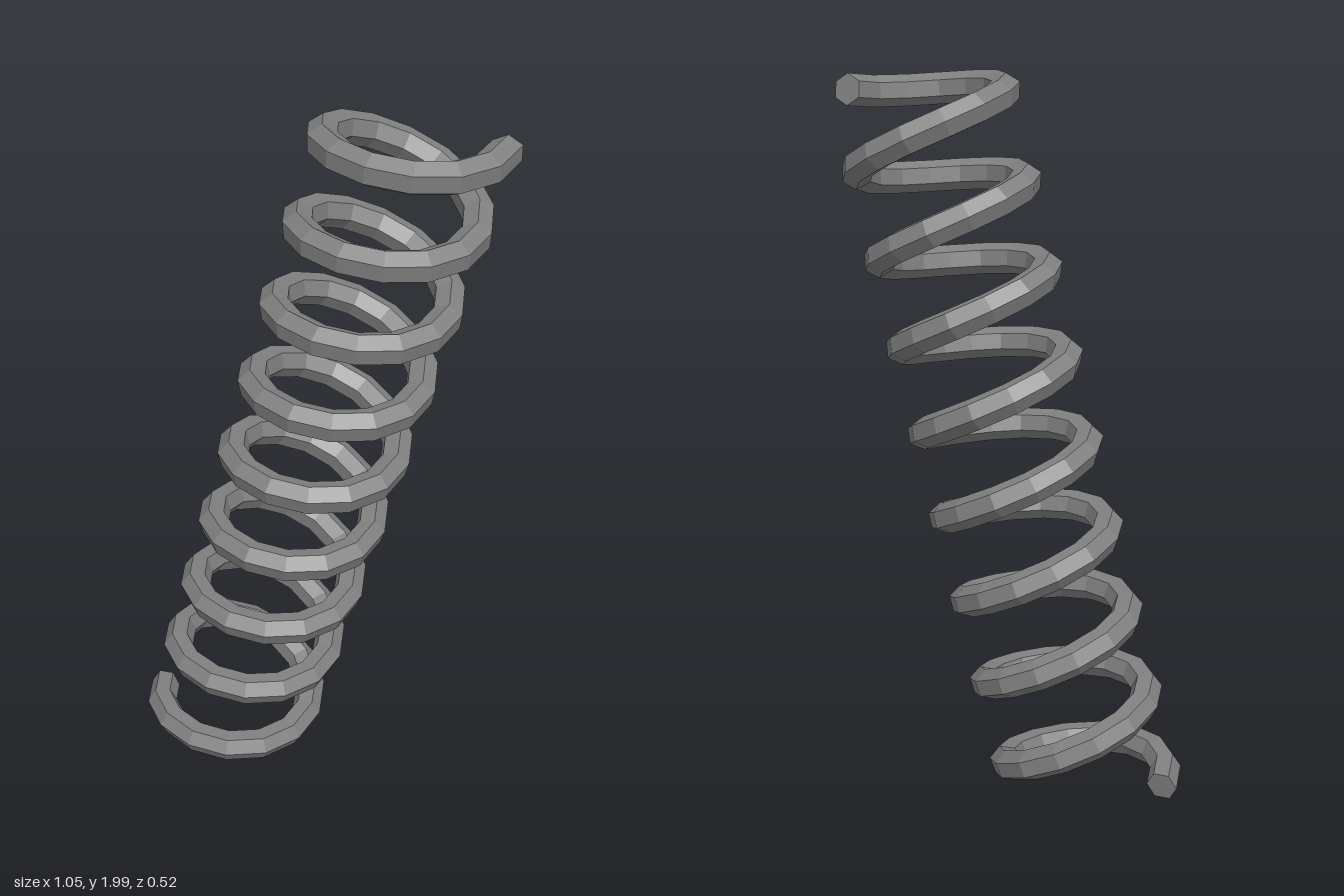
import * as THREE from 'three';

const TURNS = 8.5, SEGMENTS = 119, SIDES = 6;
const COIL_RADIUS = 0.222, WIRE_RADIUS = 0.044, LENGTH = 2.08;
const LEAN = THREE.MathUtils.degToRad(15.1);

// Helix about a leaning axis, running from the -x side through the front to the +x side
class LeaningHelix extends THREE.Curve {
  getPoint(t, target = new THREE.Vector3()) {
    const a = t * TURNS * Math.PI * 2;
    return target
      .set(-COIL_RADIUS * Math.cos(a), (t - 0.5) * LENGTH, COIL_RADIUS * Math.sin(a))
      .applyAxisAngle(new THREE.Vector3(0, 0, 1), -LEAN)
      .add(new THREE.Vector3(0, 1, 0));
  }
}

// Faceted shading through split normals
function faceted(geometry) {
  const flat = geometry.index ? geometry.toNonIndexed() : geometry;
  flat.computeVertexNormals();
  return flat;
}

// Flat hexagon closing one end of the wire
function endCap(tube, ring, flip) {
  const pos = tube.attributes.position;
  const corner = (j) => new THREE.Vector3().fromBufferAttribute(pos, ring * (SIDES + 1) + j);
  const points = [];
  for (let j = 1; j < SIDES - 1; j++) {
    points.push(corner(0), corner(flip ? j + 1 : j), corner(flip ? j : j + 1));
  }
  return faceted(new THREE.BufferGeometry().setFromPoints(points));
}

export function createModel() {
  const group = new THREE.Group();
  group.name = 'coilSpring';
  const steel = new THREE.MeshStandardMaterial({ color: 0x808080 });
  steel.name = 'grey steel';

  const curve = new LeaningHelix();
  curve.arcLengthDivisions = 1200;
  const tube = new THREE.TubeGeometry(curve, SEGMENTS, WIRE_RADIUS, SIDES, false);

  const add = (name, geometry) => {
    const mesh = new THREE.Mesh(geometry, steel);
    mesh.name = name;
    group.add(mesh);
  };
  add('coil', faceted(tube));
  add('lowerEnd', endCap(tube, 0, false));
  add('upperEnd', endCap(tube, SEGMENTS, true));
  return group;
}
